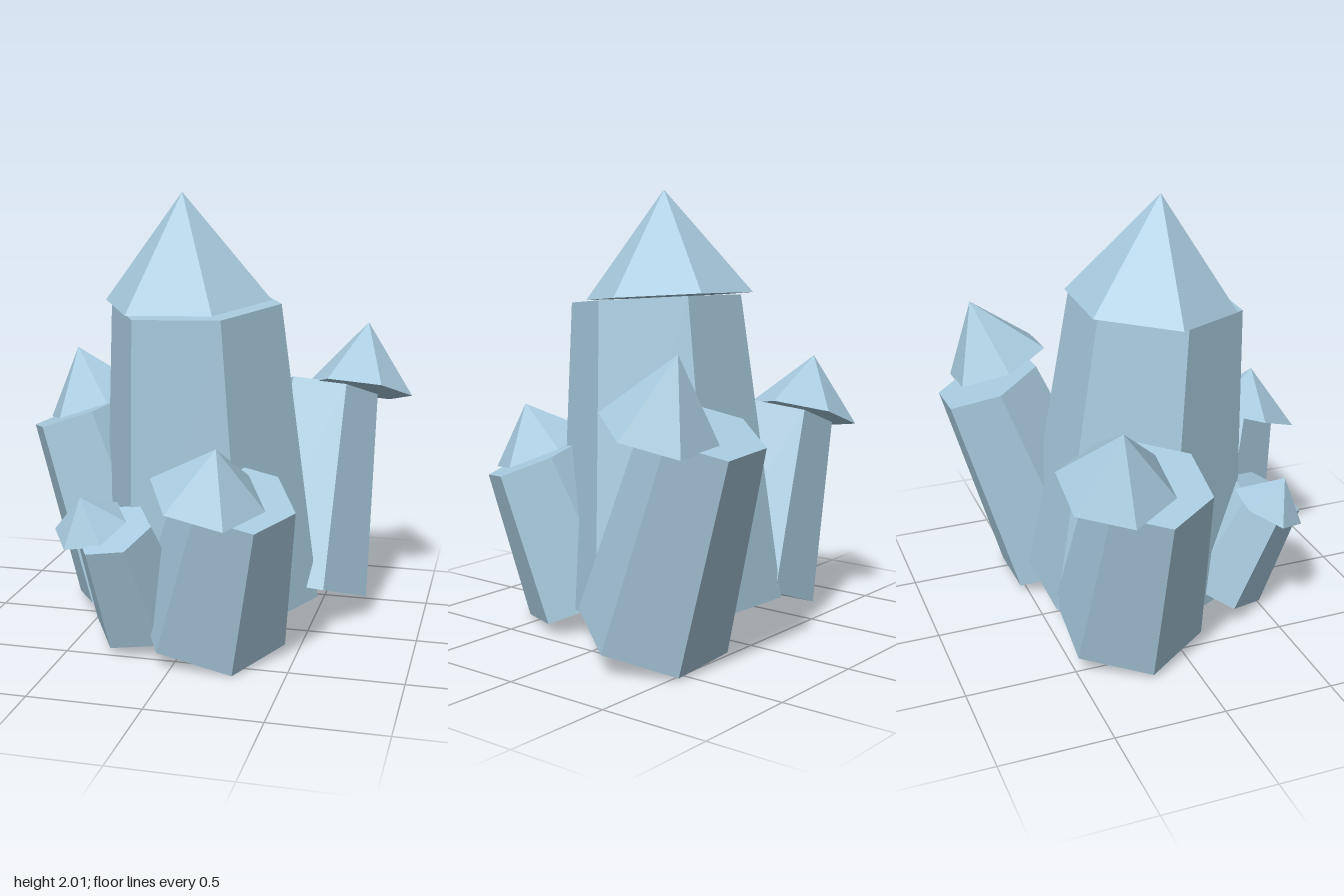
import * as THREE from 'three';

const iceBlue = new THREE.MeshStandardMaterial({ color: 0xa8cade, flatShading: true });
iceBlue.name = 'iceBlue';

const SIDES = 6;
const UP = new THREE.Vector3(0, 1, 0);

// Each crystal: a tapered six-sided shaft from bottom to top, and a loose pyramid cap
// that leans the same way but sits a little off the shaft.
const crystals = [
  { name: 'mainCrystal', bottom: [0.02, 0.13, -0.055], top: [-0.02, 1.51, 0.06],
    rBottom: 0.515, rTop: 0.39, apex: [-0.08, 2, 0.06], rTip: 0.385, hTip: 0.482 },
  { name: 'backLeftCrystal', bottom: [0.40, 0.115, -0.2625], top: [0.47, 1.03, -0.595],
    rBottom: 0.335, rTop: 0.255, apex: [0.67, 1.355, -0.61], rTip: 0.253, hTip: 0.33 },
  { name: 'backRightCrystal', bottom: [-0.36, 0.13, -0.2], top: [-0.65, 0.94, -0.2],
    rBottom: 0.338, rTop: 0.26, apex: [-0.72, 1.22, -0.35], rTip: 0.256, hTip: 0.287 },
  { name: 'frontCrystal', bottom: [0.12, 0.12, 0.32], top: [0.28, 0.77, 0.53],
    rBottom: 0.34, rTop: 0.255, apex: [0.22, 1.0, 0.66], rTip: 0.252, hTip: 0.232 },
  { name: 'smallCrystal', bottom: [-0.19, 0.125, 0.31], top: [-0.27, 0.58, 0.52],
    rBottom: 0.235, rTop: 0.175, apex: [-0.41, 0.72, 0.54], rTip: 0.172, hTip: 0.161 },
];

function makeCrystal({ name, bottom, top, rBottom, rTop, apex, rTip, hTip }) {
  const crystal = new THREE.Group();
  crystal.name = name;
  const a = new THREE.Vector3(...bottom);
  const b = new THREE.Vector3(...top);
  const axis = b.clone().sub(a);
  const length = axis.length();
  axis.normalize();
  const lean = new THREE.Quaternion().setFromUnitVectors(UP, axis);

  // Shaft, with corners pointing to the sides
  const shaft = new THREE.Mesh(
    new THREE.CylinderGeometry(rTop, rBottom, length, SIDES, 1, false, Math.PI / 6), iceBlue);
  shaft.name = 'shaft';
  shaft.position.copy(a).lerp(b, 0.5);
  shaft.quaternion.copy(lean);

  // Pointed cap, hung from its apex
  const tip = new THREE.Mesh(
    new THREE.ConeGeometry(rTip, hTip, SIDES, 1, false, Math.PI / 6), iceBlue);
  tip.name = 'tip';
  tip.position.set(...apex).addScaledVector(axis, -hTip / 2);
  tip.quaternion.copy(lean);

  crystal.add(shaft, tip);
  return crystal;
}

export function createModel() {
  const model = new THREE.Group();
  model.name = 'crystalCluster';
  for (const spec of crystals) model.add(makeCrystal(spec));
  return model;
}
